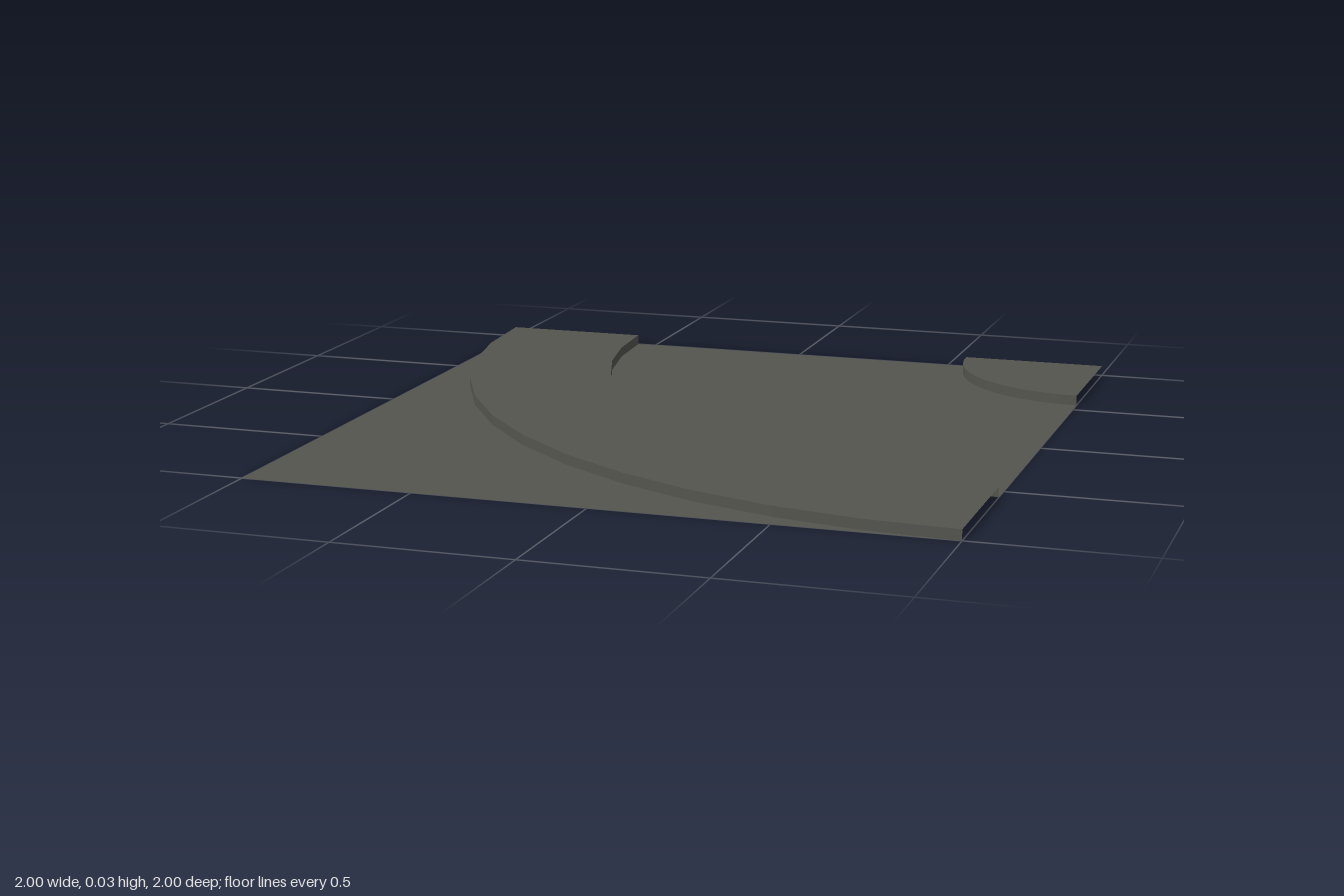
import * as THREE from 'three';

// Curved road tile: concentric quarter arcs about one corner, open underneath.
export function createModel() {
  const group = new THREE.Group();
  const asphalt = new THREE.MeshStandardMaterial({ color: 0x55554f, side: THREE.DoubleSide, flatShading: true });
  asphalt.name = 'asphalt';

  const SEG = 12, KERB = 0.03;
  const R_INNER = 0.44, R_OUTER = 1.56, R_EDGE = 2;
  const QUARTER = Math.PI / 2;

  function add(name, geometry, y) {
    const mesh = new THREE.Mesh(geometry, asphalt);
    mesh.name = name;
    mesh.position.set(1, y, -1); // centre of the bend
    group.add(mesh);
  }
  const flat = (geometry) => geometry.rotateX(-Math.PI / 2);

  // Horizontal surfaces
  add('innerPavement', flat(new THREE.CircleGeometry(R_INNER, SEG, Math.PI, QUARTER)), KERB);
  add('road', flat(new THREE.RingGeometry(R_INNER, R_OUTER, SEG, 1, Math.PI, QUARTER)), 0);
  add('outerPavement', flat(new THREE.RingGeometry(R_OUTER, R_EDGE, SEG, 1, Math.PI, QUARTER)), KERB);

  // Low ground filling the corner outside the bend
  const corner = [new THREE.Vector2(-R_EDGE, -R_EDGE)];
  for (let i = 0; i <= SEG; i++) {
    const a = Math.PI + (QUARTER * i) / SEG;
    corner.push(new THREE.Vector2(Math.cos(a) * R_EDGE, Math.sin(a) * R_EDGE));
  }
  add('cornerGround', flat(new THREE.ShapeGeometry(new THREE.Shape(corner))), 0);

  // Upright kerb faces
  for (const [name, r] of [['innerKerb', R_INNER], ['outerKerb', R_OUTER], ['edgeKerb', R_EDGE]]) {
    add(name, new THREE.CylinderGeometry(r, r, KERB, SEG, 1, true, 3 * QUARTER, QUARTER), KERB / 2);
  }
  return group;
}
